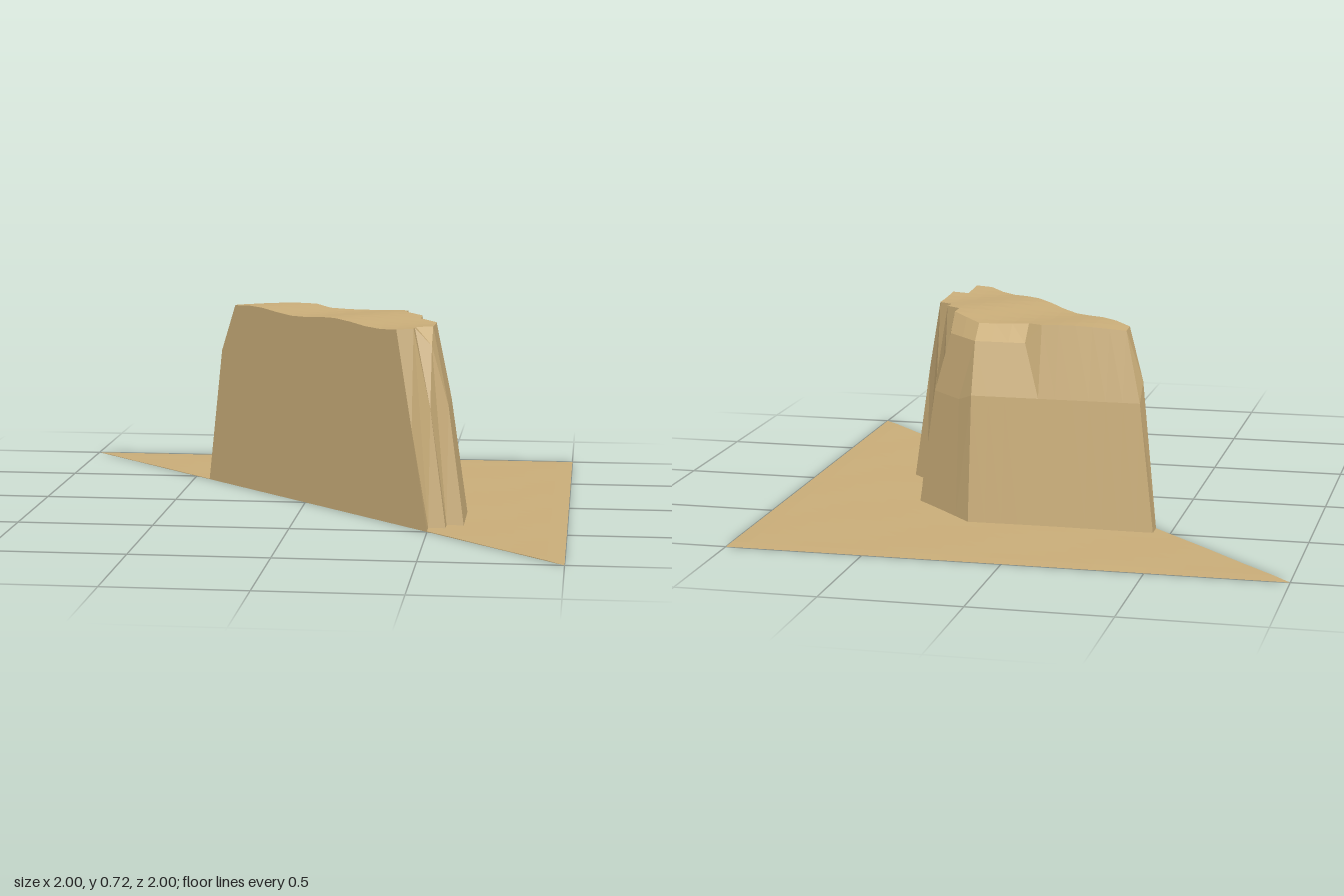
import * as THREE from 'three';

const N = 16; // grid cells per unit
const RIM = 0.7; // everything above this belongs to the plateau

// For each grid row (z * 16): last column on the plateau, first column at the cliff foot
const ROWS = {
  '-7': [-9, 5], '-6': [0, 6], '-5': [4, 7], '-4': [5, 8], '-3': [6, 8], '-2': [6, 8],
  '-1': [7, 8], '0': [7, 9], '1': [8, 9], '2': [8, 10], '3': [8, 10], '4': [8, 10],
  '5': [7, 10], '6': [7, 9], '7': [6, 8],
};

// Terrain height at grid column i, row j
function height(i, j) {
  const row = ROWS[j];
  const x = i / N, z = j / N;
  if (!row || i >= row[1] || i < -6) {
    const edge = i === N || j === -N;
    return edge ? 0 : 0.002 + 0.001 * Math.sin(9 * x + 2) * Math.cos(11 * z);
  }
  if (i === -6 && j === -6) return 0.53;
  if (i <= row[0]) return 0.716 + 0.008 * Math.cos(9 * (x + z) + 4.1) - 0.005 * Math.max(0, x - z);
  if (j === -7) return 0.46;
  if (j === 7) return 0.36;
  return i === row[1] - 1 ? 0.43 : 0.65;
}

function point(i, j) {
  return [i / N, height(i, j), j / N];
}

function makeMesh(name, triangles, material) {
  const geometry = new THREE.BufferGeometry();
  geometry.setAttribute('position', new THREE.Float32BufferAttribute(triangles.flat(2), 3));
  geometry.computeVertexNormals();
  const mesh = new THREE.Mesh(geometry, material);
  mesh.name = name;
  return mesh;
}

export function createModel() {
  const group = new THREE.Group();
  group.name = 'mesaTerrain';
  const sand = new THREE.MeshStandardMaterial({ color: 0xc8ac78, flatShading: true });
  sand.name = 'sand';

  // Height field over the triangular half of the grid, sorted into parts
  const ground = [], cliff = [], plateau = [], cut = [];
  const add = (...tri) => {
    const ys = tri.map((p) => p[1]);
    const part = Math.min(...ys) > RIM ? plateau : Math.max(...ys) > 0.1 ? cliff : ground;
    part.push(tri);
  };
  for (let j = -N; j < N; j++) {
    for (let i = j; i < N; i++) {
      const a = point(i, j), c = point(i + 1, j + 1), d = point(i + 1, j);
      add(a, c, d);
      if (i > j) add(a, point(i, j + 1), c);
    }
  }

  // Vertical section along the long diagonal edge
  for (let i = -N; i < N; i++) {
    const a = point(i, i), b = point(i + 1, i + 1);
    const a0 = [a[0], 0, a[2]], b0 = [b[0], 0, b[2]];
    cut.push([a0, b0, b], [a0, b, a]);
  }

  // Flat bottom
  const bottom = [[[-1, 0, -1], [1, 0, -1], [1, 0, 1]]];

  group.add(
    makeMesh('ground', ground, sand),
    makeMesh('cliffWall', cliff, sand),
    makeMesh('plateau', plateau, sand),
    makeMesh('cutFace', cut, sand),
    makeMesh('underside', bottom, sand),
  );
  return group;
}
